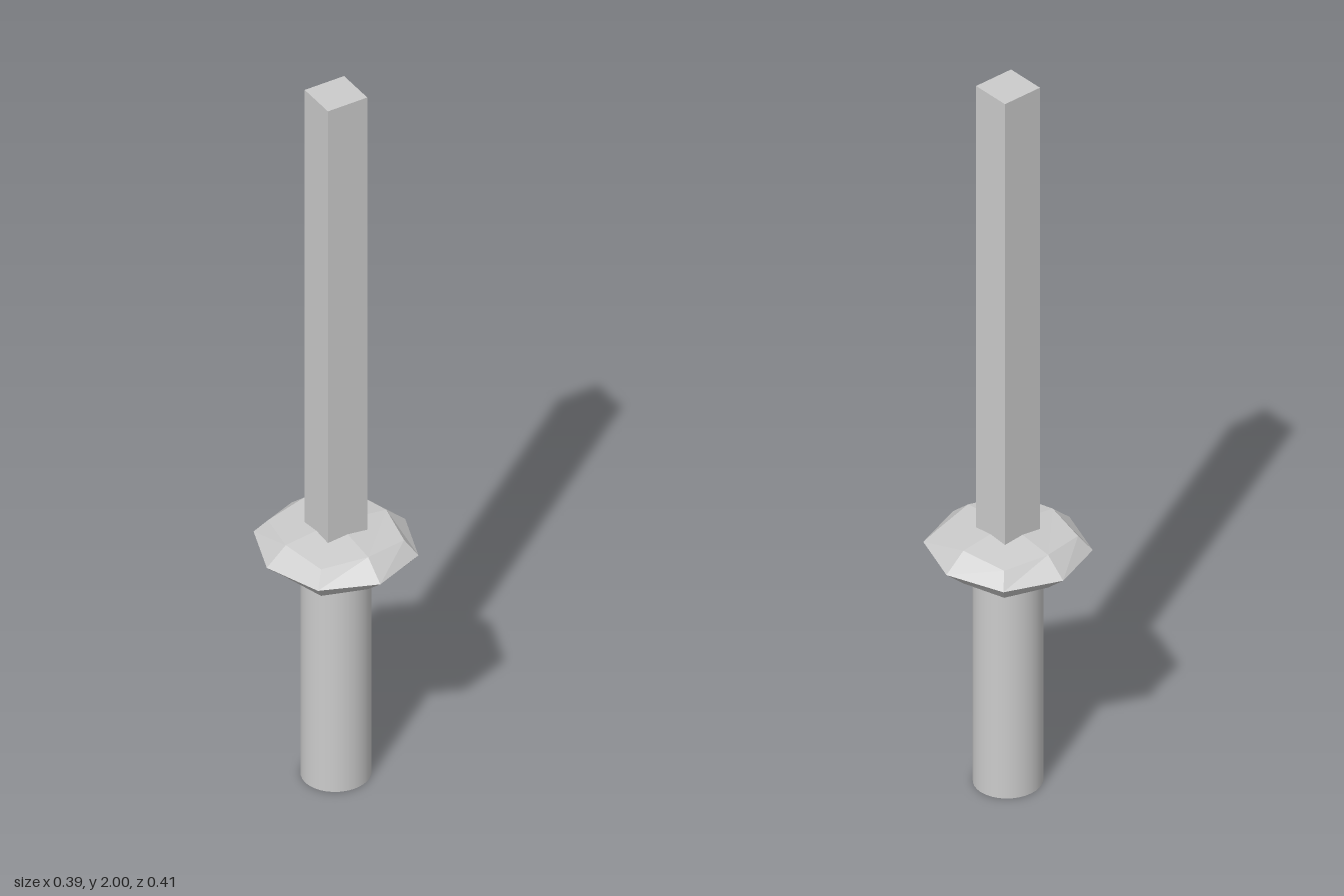
import * as THREE from 'three';

const material = new THREE.MeshStandardMaterial({ color: 0xcccccc });
const facetedMaterial = new THREE.MeshStandardMaterial({ color: 0xcccccc, flatShading: true });

function addPart(group, name, geometry, mat, y) {
  const mesh = new THREE.Mesh(geometry, mat);
  mesh.name = name;
  mesh.position.y = y;
  group.add(mesh);
  return mesh;
}

// A cube split 2 x 2 per face and rounded towards a flattened ball
function guardGeometry(rx, ry, rz) {
  const geometry = new THREE.BoxGeometry(2, 2, 2, 2, 2, 2);
  const pos = geometry.attributes.position;
  const reach = [0, 1, 0.726, 0.6]; // face centre, edge middle, corner
  const v = new THREE.Vector3();
  for (let i = 0; i < pos.count; i++) {
    v.fromBufferAttribute(pos, i).round();
    const k = reach[Math.abs(v.x) + Math.abs(v.y) + Math.abs(v.z)];
    pos.setXYZ(i, v.x * k * rx, v.y * k * ry, v.z * k * rz);
  }
  geometry.computeVertexNormals();
  return geometry;
}

export function createModel() {
  const model = new THREE.Group();
  model.name = 'sword';

  // Round grip, slightly wider than deep, ending inside the guard
  const gripHeight = 0.66;
  const grip = addPart(model, 'grip', new THREE.CylinderGeometry(1, 1, gripHeight, 32), material, gripHeight / 2);
  grip.scale.set(0.087, 1, 0.084);

  // Faceted hand guard
  addPart(model, 'guard', guardGeometry(0.197, 0.065, 0.204), facetedMaterial, 0.674);

  // Square blade rising from the guard
  const bladeBase = 0.67;
  const bladeHeight = 2 - bladeBase;
  addPart(model, 'blade', new THREE.BoxGeometry(0.112, bladeHeight, 0.107), facetedMaterial, bladeBase + bladeHeight / 2);

  return model;
}
